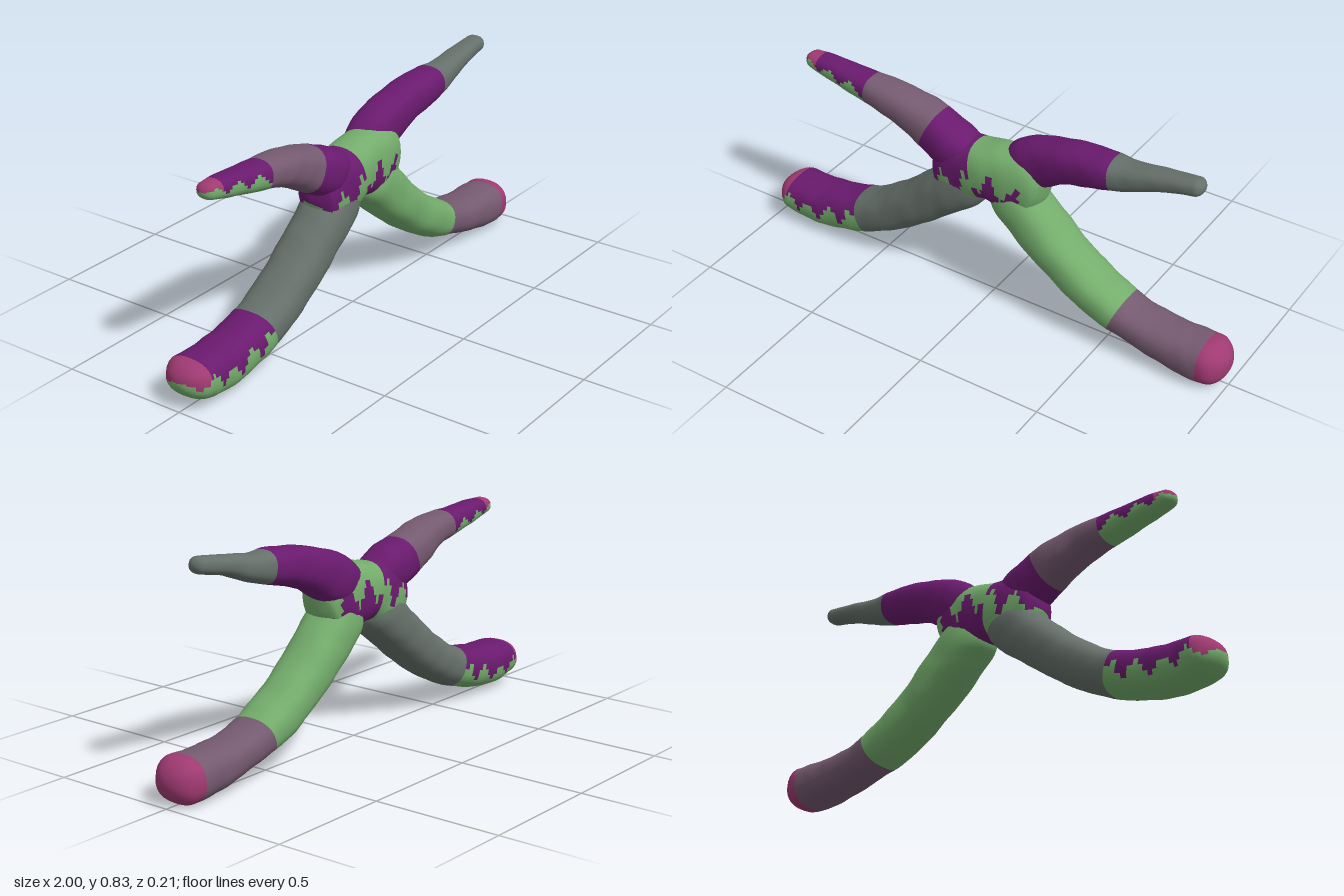
import * as THREE from 'three';

const PURPLE = 0x6a1a6e, GREEN = 0x74ad6c, SLATE = 0x66706a, MAUVE = 0x755a70, PINK = 0xa03a72;
const SIDES = 28, RINGS = 72;

// Rounded-square power curve for the cross-sections
const soft = (v) => Math.sign(v) * Math.abs(v) ** 0.82;

// Smooth tube with round ends through stations [x, y, z, half height, half depth],
// split into one mesh per colour; paint(x, onTop) picks the colour.
function limb(name, stations, paint, cap) {
  const path = new THREE.CatmullRomCurve3(stations.map((s) => new THREE.Vector3(s[0], s[1], s[2])));
  const size = new THREE.CatmullRomCurve3(stations.map((s) => new THREE.Vector3(s[3], s[4], 0)));
  const first = path.getPoint(0), last = path.getPoint(1);
  const pos = [], index = [], byColor = new Map();

  for (let i = 0; i <= RINGS; i++) {
    const u = (1 - Math.cos((Math.PI * i) / RINGS)) / 2;
    const p = path.getPoint(u), t = path.getTangent(u), r = size.getPoint(u);
    const flat = Math.hypot(t.x, t.y);
    const nx = -t.y / flat, ny = t.x / flat;
    const edge = Math.min(1, Math.min(p.distanceTo(first), p.distanceTo(last)) / cap);
    const k = Math.max(0.001, Math.sqrt(1 - (1 - edge) ** 2));
    for (let j = 0; j < SIDES; j++) {
      const a = (j / SIDES) * Math.PI * 2;
      // slight hand-modelled unevenness
      const lump = k * (1 + 0.012 * Math.sin(p.x * 41 + 2 * a) + 0.008 * Math.sin(p.x * 73 - 3 * a));
      const h = soft(Math.cos(a)) * r.x * lump;
      pos.push(p.x + nx * h, p.y + ny * h, p.z + soft(Math.sin(a)) * r.y * lump);
      if (i === RINGS) continue;
      const b = i * SIDES + j, c = i * SIDES + ((j + 1) % SIDES);
      const quad = [b, c, b + SIDES, c, c + SIDES, b + SIDES];
      index.push(...quad);
      const ragged = 0.25 * Math.sin(p.x * 60);
      const color = paint(p.x, Math.cos(a) * ny > ragged);
      if (!byColor.has(color)) byColor.set(color, []);
      byColor.get(color).push(...quad);
    }
  }

  const whole = new THREE.BufferGeometry();
  whole.setAttribute('position', new THREE.Float32BufferAttribute(pos, 3));
  whole.setIndex(index);
  whole.computeVertexNormals();

  const group = new THREE.Group();
  group.name = name;
  let n = 0;
  for (const [color, faces] of byColor) {
    const geo = new THREE.BufferGeometry();
    geo.setAttribute('position', whole.attributes.position);
    geo.setAttribute('normal', whole.attributes.normal);
    geo.setIndex(faces);
    const mesh = new THREE.Mesh(geo, new THREE.MeshStandardMaterial({ color }));
    mesh.name = `${name}Patch${++n}`;
    group.add(mesh);
  }
  return group;
}

export function createModel() {
  const model = new THREE.Group();
  model.name = 'crossedLimbs';

  // Central body where the four limbs meet
  model.add(limb('body', [
    [-0.25, 0.5, 0, 0.045, 0.06], [-0.22, 0.505, 0, 0.085, 0.08], [-0.14, 0.525, 0, 0.135, 0.094],
    [-0.04, 0.555, 0, 0.113, 0.1], [0.05, 0.56, 0, 0.125, 0.1], [0.12, 0.55, 0, 0.14, 0.094],
    [0.18, 0.515, 0, 0.095, 0.08], [0.21, 0.5, 0, 0.045, 0.06],
  ], (x, top) => (x < -0.06) === top ? PURPLE : GREEN, 0.03));

  // Thick lower limbs
  model.add(limb('leftLeg', [
    [0.02, 0.55, 0, 0.07, 0.07], [0.1, 0.48, 0, 0.1, 0.097], [0.2, 0.385, 0, 0.095, 0.102],
    [0.33, 0.275, 0, 0.085, 0.1], [0.48, 0.18, 0, 0.08, 0.1], [0.62, 0.127, 0, 0.068, 0.095],
    [0.78, 0.095, 0, 0.078, 0.097], [0.9, 0.087, 0, 0.085, 0.1], [1, 0.09, 0, 0.08, 0.095],
  ], (x) => (x > 0.9 ? PINK : x > 0.54 ? MAUVE : GREEN), 0.075));
  model.add(limb('rightLeg', [
    [-0.04, 0.54, 0, 0.07, 0.07], [-0.13, 0.46, 0, 0.098, 0.097], [-0.25, 0.36, 0, 0.09, 0.1],
    [-0.4, 0.245, 0, 0.085, 0.1], [-0.56, 0.155, 0, 0.08, 0.1], [-0.7, 0.115, 0, 0.083, 0.1],
    [-0.82, 0.1, 0, 0.084, 0.1], [-0.92, 0.107, 0, 0.074, 0.1], [-1, 0.113, 0, 0.064, 0.092],
  ], (x, top) => (x > -0.56 ? SLATE : !top ? GREEN : x < -0.93 ? PINK : PURPLE), 0.07));

  // Slender tapering upper limbs
  model.add(limb('leftArm', [
    [0.04, 0.59, -0.02, 0.06, 0.06], [0.15, 0.64, -0.02, 0.095, 0.08], [0.3, 0.705, -0.01, 0.078, 0.08],
    [0.46, 0.738, 0, 0.066, 0.076], [0.56, 0.75, 0, 0.052, 0.06], [0.7, 0.785, 0, 0.036, 0.047],
    [0.845, 0.81, 0, 0.029, 0.038],
  ], (x) => (x > 0.5 ? SLATE : PURPLE), 0.03));
  model.add(limb('rightArm', [
    [-0.06, 0.57, 0, 0.06, 0.07], [-0.2, 0.615, 0, 0.09, 0.09], [-0.32, 0.665, -0.01, 0.08, 0.085],
    [-0.45, 0.71, 0, 0.062, 0.076], [-0.6, 0.73, 0, 0.05, 0.062], [-0.74, 0.75, 0, 0.04, 0.05],
    [-0.845, 0.762, 0, 0.027, 0.036],
  ], (x, top) => (x > -0.27 ? PURPLE : x > -0.53 ? MAUVE : !top ? GREEN : x < -0.78 ? PINK : PURPLE), 0.03));

  return model;
}
